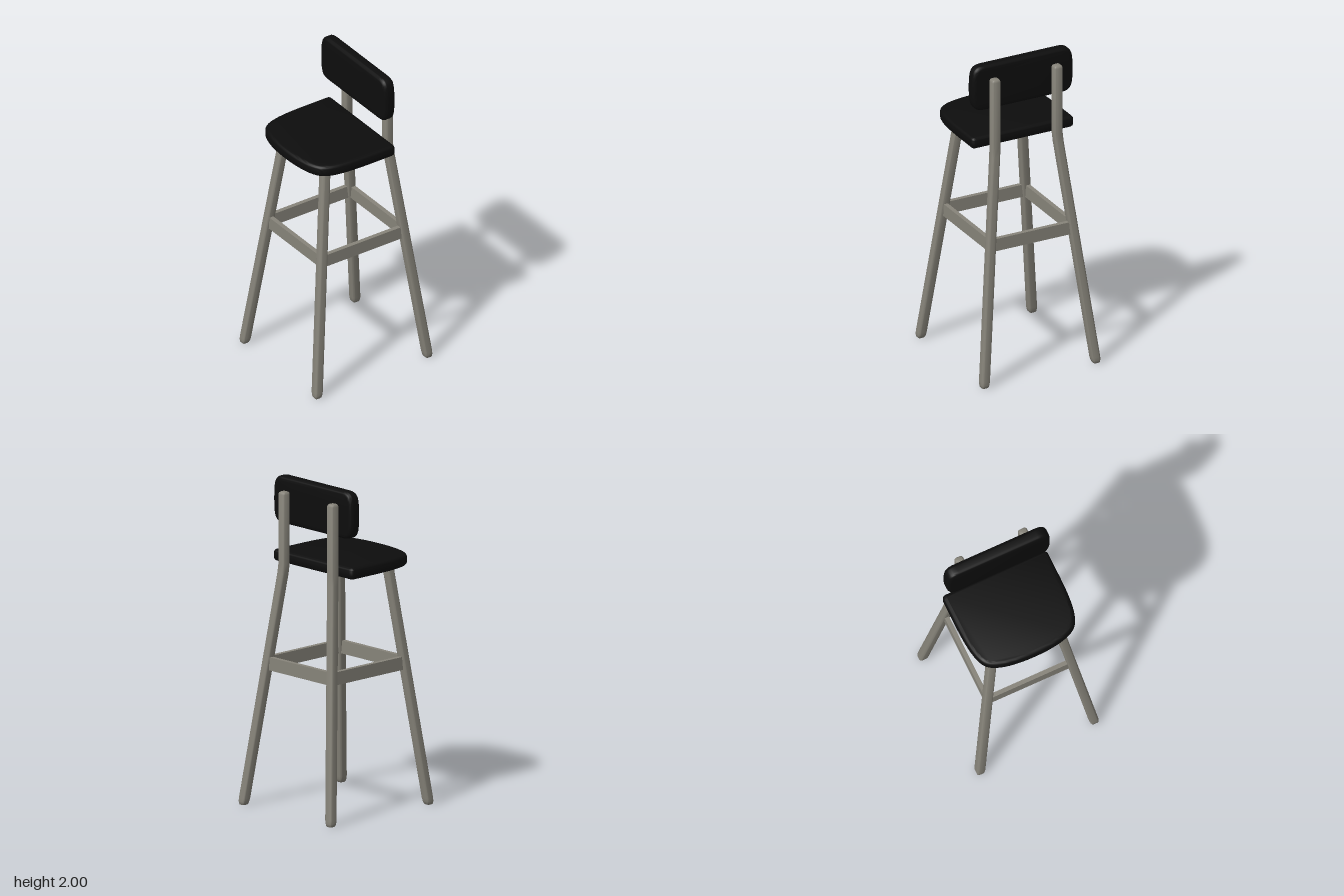
import * as THREE from 'three';
import { toCreasedNormals } from 'three/addons/utils/BufferGeometryUtils.js';

const wood = new THREE.MeshStandardMaterial({ color: 0x87847a });
wood.name = 'greyWood';
const black = new THREE.MeshStandardMaterial({ color: 0x0d0d0d });
black.name = 'blackUpholstery';

// Rounded square outline in the xz plane
function roundedSquare(half, radius, steps = 4) {
  const points = [];
  for (let c = 0; c < 4; c++) {
    const mid = Math.PI / 4 + c * Math.PI / 2;
    const cx = Math.sign(Math.cos(mid)) * (half - radius);
    const cz = Math.sign(Math.sin(mid)) * (half - radius);
    for (let i = 0; i <= steps; i++) {
      const a = (c + i / steps) * Math.PI / 2;
      points.push([cx + radius * Math.cos(a), cz + radius * Math.sin(a)]);
    }
  }
  return points;
}

// Joins horizontal sections [x, y, z, scale], bottom to top, with closed ends
function loft(sections, outline) {
  const n = outline.length, pos = [], index = [];
  for (const [x, y, z, s] of sections)
    for (const [px, pz] of outline) pos.push(x + px * s, y, z + pz * s);
  for (let r = 0; r < sections.length - 1; r++)
    for (let i = 0; i < n; i++) {
      const a = r * n + i, b = r * n + (i + 1) % n;
      index.push(a, a + n, b, b, a + n, b + n);
    }
  const last = sections.length - 1, low = pos.length / 3, high = low + 1;
  pos.push(...sections[0].slice(0, 3), ...sections[last].slice(0, 3));
  for (let i = 0; i < n; i++) {
    const j = (i + 1) % n;
    index.push(low, i, j, high, last * n + j, last * n + i);
  }
  const g = new THREE.BufferGeometry();
  g.setAttribute('position', new THREE.Float32BufferAttribute(pos, 3));
  g.setIndex(index);
  return toCreasedNormals(g, 0.7);
}

// Cushion: outline extruded with rounded rims, centred on its thickness
function cushion(shape, thickness, rim) {
  const g = new THREE.ExtrudeGeometry(shape, {
    depth: thickness - 2 * rim, bevelThickness: rim, bevelSize: rim,
    bevelOffset: -rim, bevelSegments: 5, curveSegments: 10,
  });
  g.translate(0, 0, rim - thickness / 2);
  return toCreasedNormals(g, 0.7);
}

export function createModel() {
  const model = new THREE.Group();
  const add = (name, geometry, material, x = 0, y = 0, z = 0) => {
    const mesh = new THREE.Mesh(geometry, material);
    mesh.name = name;
    mesh.position.set(x, y, z);
    model.add(mesh);
    return mesh;
  };

  // Splayed legs; the rear pair bends upright to carry the backrest
  const outline = roundedSquare(0.028, 0.014);
  const footX = 0.402, footZ = 0.377, topX = 0.227, topZ = 0.21, bend = 1.46;
  const along = (y, scale, sx, sz) => {
    const t = y / bend;
    return [sx * (footX + (topX - footX) * t), y, sz * (footZ + (topZ - footZ) * t), scale];
  };
  for (const side of [1, -1]) {
    const foot = sx => [[0, 0.66], [0.006, 0.82], [0.02, 0.94], [0.04, 1]]
      .map(([y, s]) => along(y, s, sx, side));
    const label = side > 0 ? 'Left' : 'Right';
    add('frontLeg' + label, loft([...foot(-1), along(1.485, 1, -1, side)], outline), wood);
    add('rearLeg' + label, loft([
      ...foot(1), along(1.42, 1, 1, side),
      [topX, 1.48, side * topZ, 1],
      [topX, 1.905, side * topZ, 1],
      [topX, 1.915, side * topZ, 0.9],
      [topX, 1.92, side * topZ, 0.7],
    ], outline), wood);
  }

  // Footrest rails between the legs
  const [railX, , railZ] = along(0.87, 1, 1, 1);
  for (const s of [1, -1]) {
    add(s > 0 ? 'rearRail' : 'frontRail',
      new THREE.BoxGeometry(0.027, 0.08, 2 * railZ - 0.01), wood, s * railX, 0.87, 0);
    add(s > 0 ? 'sideRailLeft' : 'sideRailRight',
      new THREE.BoxGeometry(2 * railX - 0.01, 0.08, 0.027), wood, 0, 0.87, s * railZ);
  }

  // Seat with a bowed front and square back
  const seat = new THREE.Shape();
  seat.moveTo(0.197, -0.315);
  seat.lineTo(0.197, 0.315);
  seat.quadraticCurveTo(0.197, 0.346, 0.166, 0.346);
  seat.lineTo(0, 0.346);
  seat.bezierCurveTo(-0.2, 0.346, -0.275, 0.323, -0.31, 0.288);
  seat.bezierCurveTo(-0.35, 0.248, -0.375, 0.15, -0.375, 0);
  seat.bezierCurveTo(-0.375, -0.15, -0.35, -0.248, -0.31, -0.288);
  seat.bezierCurveTo(-0.275, -0.323, -0.2, -0.346, 0, -0.346);
  seat.lineTo(0.166, -0.346);
  seat.quadraticCurveTo(0.197, -0.346, 0.197, -0.315);
  add('seat', cushion(seat, 0.072, 0.024).rotateX(-Math.PI / 2), black, 0, 1.504, 0);

  // Backrest pad with soft corners and slightly bowed sides
  const w = 0.34, h = 0.145;
  const back = new THREE.Shape();
  back.moveTo(w, 0);
  back.bezierCurveTo(w, h * 0.75, w - 0.01, h, w - 0.08, h);
  back.lineTo(-w + 0.08, h);
  back.bezierCurveTo(-w + 0.01, h, -w, h * 0.75, -w, 0);
  back.bezierCurveTo(-w, -h * 0.75, -w + 0.01, -h, -w + 0.08, -h);
  back.lineTo(w - 0.08, -h);
  back.bezierCurveTo(w - 0.01, -h, w, -h * 0.75, w, 0);
  add('backrest', cushion(back, 0.078, 0.024).rotateY(Math.PI / 2), black, 0.159, 1.855, 0);

  return model;
}
